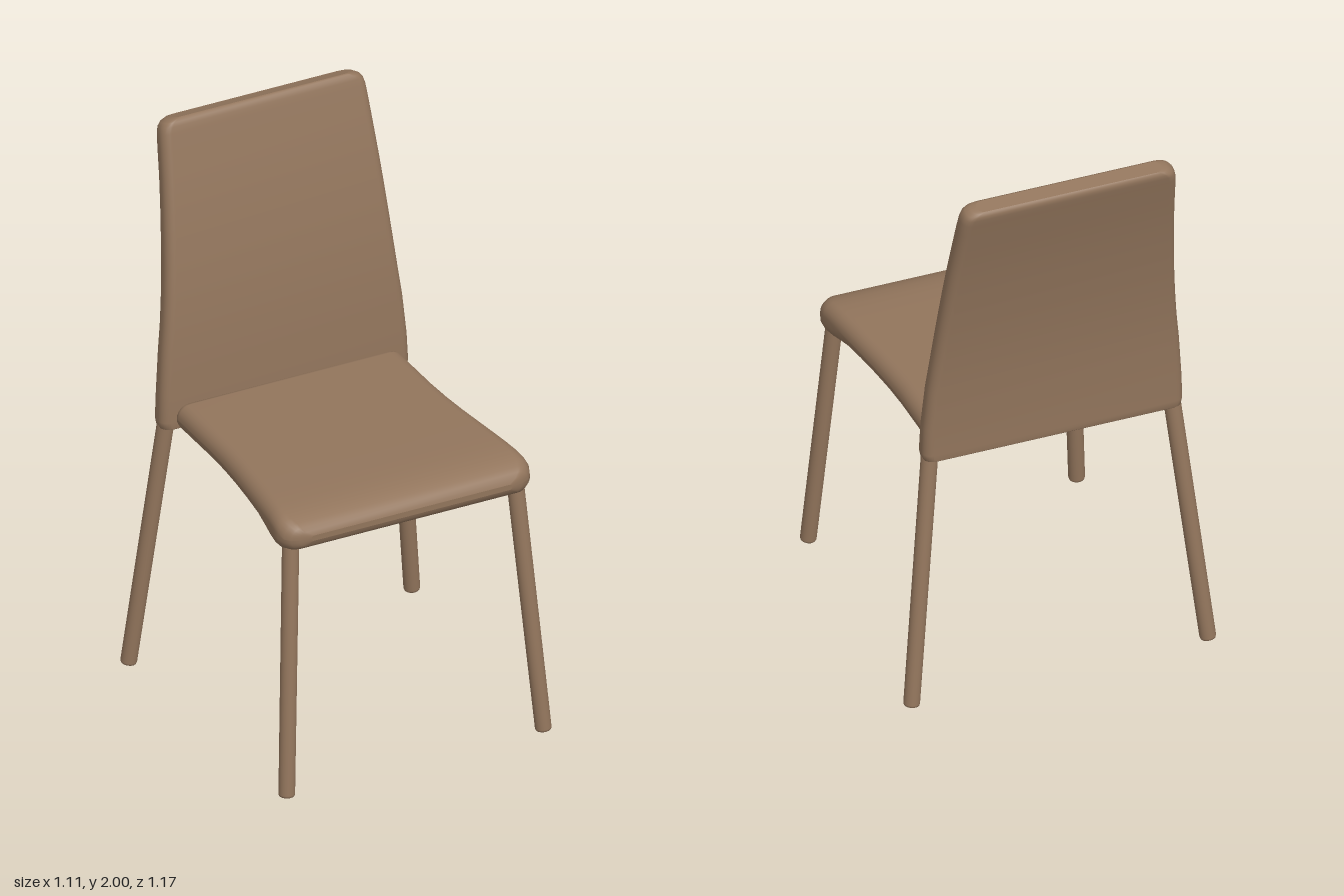
import * as THREE from 'three';

const leather = new THREE.MeshStandardMaterial({ color: 0x92755c });
leather.name = 'brownLeather';

// Counter-clockwise rounded rectangle, always with the same number of points
function roundedRing(halfW, halfH, radius, steps = 6) {
  const r = Math.min(radius, halfW * 0.98, halfH * 0.98);
  const ring = [];
  [[1, 1], [-1, 1], [-1, -1], [1, -1]].forEach(([sx, sy], q) => {
    for (let i = 0; i <= steps; i++) {
      const a = (q + i / steps) * Math.PI / 2;
      ring.push([sx * (halfW - r) + r * Math.cos(a), sy * (halfH - r) + r * Math.sin(a)]);
    }
  });
  return ring;
}

// Skins a list of rings (arrays of Vector3) and closes both ends with flat caps
function loft(rings) {
  const n = rings[0].length, pos = [], index = [];
  const add = (p) => pos.push(p.x, p.y, p.z) / 3 - 1;
  rings.forEach((ring) => ring.forEach(add));
  for (let i = 0; i < rings.length - 1; i++) {
    for (let j = 0; j < n; j++) {
      const a = i * n + j, b = i * n + (j + 1) % n;
      index.push(a, b, b + n, a, b + n, a + n);
    }
  }
  [rings[0], rings[rings.length - 1]].forEach((ring, end) => {
    const mid = new THREE.Vector3();
    ring.forEach((p) => mid.addScaledVector(p, 1 / n));
    const c = add(mid), first = ring.map(add)[0];
    for (let j = 0; j < n; j++) {
      const a = first + j, b = first + (j + 1) % n;
      if (end) index.push(c, a, b); else index.push(c, b, a);
    }
  });
  const g = new THREE.BufferGeometry();
  g.setAttribute('position', new THREE.Float32BufferAttribute(pos, 3));
  g.setIndex(index);
  g.computeVertexNormals();
  return g;
}

// Seat cushion: cross-sections from back to front [z, half width, bottom, top]
function seatGeometry() {
  const sections = [
    [-0.343, 0.412, 0.932, 1.010], [-0.338, 0.419, 0.925, 1.017], [-0.325, 0.421, 0.922, 1.02],
    [-0.1, 0.421, 0.922, 1.02], [0, 0.425, 0.922, 1.02], [0.1, 0.433, 0.922, 1.02],
    [0.2, 0.444, 0.922, 1.02], [0.3, 0.455, 0.918, 1.02], [0.36, 0.462, 0.907, 1.019],
    [0.41, 0.467, 0.895, 1.017], [0.45, 0.471, 0.890, 1.012], [0.48, 0.470, 0.891, 1.005],
    [0.505, 0.460, 0.897, 0.995], [0.523, 0.443, 0.906, 0.984], [0.535, 0.415, 0.919, 0.971],
    [0.541, 0.375, 0.935, 0.955],
  ];
  return loft(sections.map(([z, w, lo, hi]) =>
    roundedRing(w, (hi - lo) / 2, 0.048).map(([x, v]) => new THREE.Vector3(x, (lo + hi) / 2 + v, z))));
}

// Backrest: sections along a curve leaning back [y, z, half width, half thickness]
function backGeometry() {
  const sections = [
    [0.920, -0.391, 0.452, 0.034], [0.925, -0.391, 0.460, 0.039], [0.95, -0.391, 0.465, 0.040],
    [1.05, -0.393, 0.461, 0.039], [1.2, -0.402, 0.449, 0.038], [1.3, -0.411, 0.437, 0.038],
    [1.4, -0.423, 0.427, 0.038], [1.5, -0.438, 0.418, 0.038], [1.6, -0.456, 0.410, 0.038],
    [1.7, -0.476, 0.402, 0.038], [1.8, -0.499, 0.394, 0.038], [1.9, -0.525, 0.387, 0.038],
    [1.945, -0.537, 0.383, 0.038], [1.967, -0.543, 0.377, 0.038], [1.98, -0.547, 0.367, 0.036],
    [1.989, -0.549, 0.350, 0.031], [1.992, -0.55, 0.330, 0.025],
  ];
  return loft(sections.map(([y, z, w, t], i) => {
    const p = sections[Math.max(i - 1, 0)], q = sections[Math.min(i + 1, sections.length - 1)];
    const lean = Math.min(Math.atan2(p[1] - q[1], q[0] - p[0]), 0.26);
    return roundedRing(w, t, 0.032).map(([x, v]) =>
      new THREE.Vector3(x, y - v * Math.sin(lean), z - v * Math.cos(lean)));
  }));
}

// Round tapered leg between two points, with a slightly rounded foot
function makeLeg(foot, top, name) {
  const a = new THREE.Vector3(...foot), b = new THREE.Vector3(...top);
  const length = a.distanceTo(b);
  const profile = [[0, 0], [0.021, 0], [0.026, 0.003], [0.028, 0.010], [0.029, length], [0, length]]
    .map(([r, y]) => new THREE.Vector2(r, y));
  const leg = new THREE.Mesh(new THREE.LatheGeometry(profile, 20), leather);
  leg.position.copy(a);
  leg.quaternion.setFromUnitVectors(new THREE.Vector3(0, 1, 0), b.sub(a).normalize());
  leg.name = name;
  return leg;
}

export function createModel() {
  const chair = new THREE.Group();
  chair.name = 'chair';

  const seat = new THREE.Mesh(seatGeometry(), leather);
  seat.name = 'seat';
  const back = new THREE.Mesh(backGeometry(), leather);
  back.name = 'backrest';
  chair.add(seat, back);

  // Hidden joint between the seat and the backrest
  const joint = new THREE.Mesh(new THREE.BoxGeometry(0.8, 0.06, 0.04), leather);
  joint.position.set(0, 0.965, -0.348);
  joint.name = 'seatJoint';
  chair.add(joint);

  // Splayed legs, mirrored left and right
  for (const [s, side] of [[1, 'left'], [-1, 'right']]) {
    chair.add(makeLeg([s * 0.48, 0.003, 0.563], [s * 0.419, 0.93, 0.475], side + 'FrontLeg'));
    chair.add(makeLeg([s * 0.53, 0.003, -0.472], [s * 0.432, 0.94, -0.391], side + 'BackLeg'));
  }
  return chair;
}
